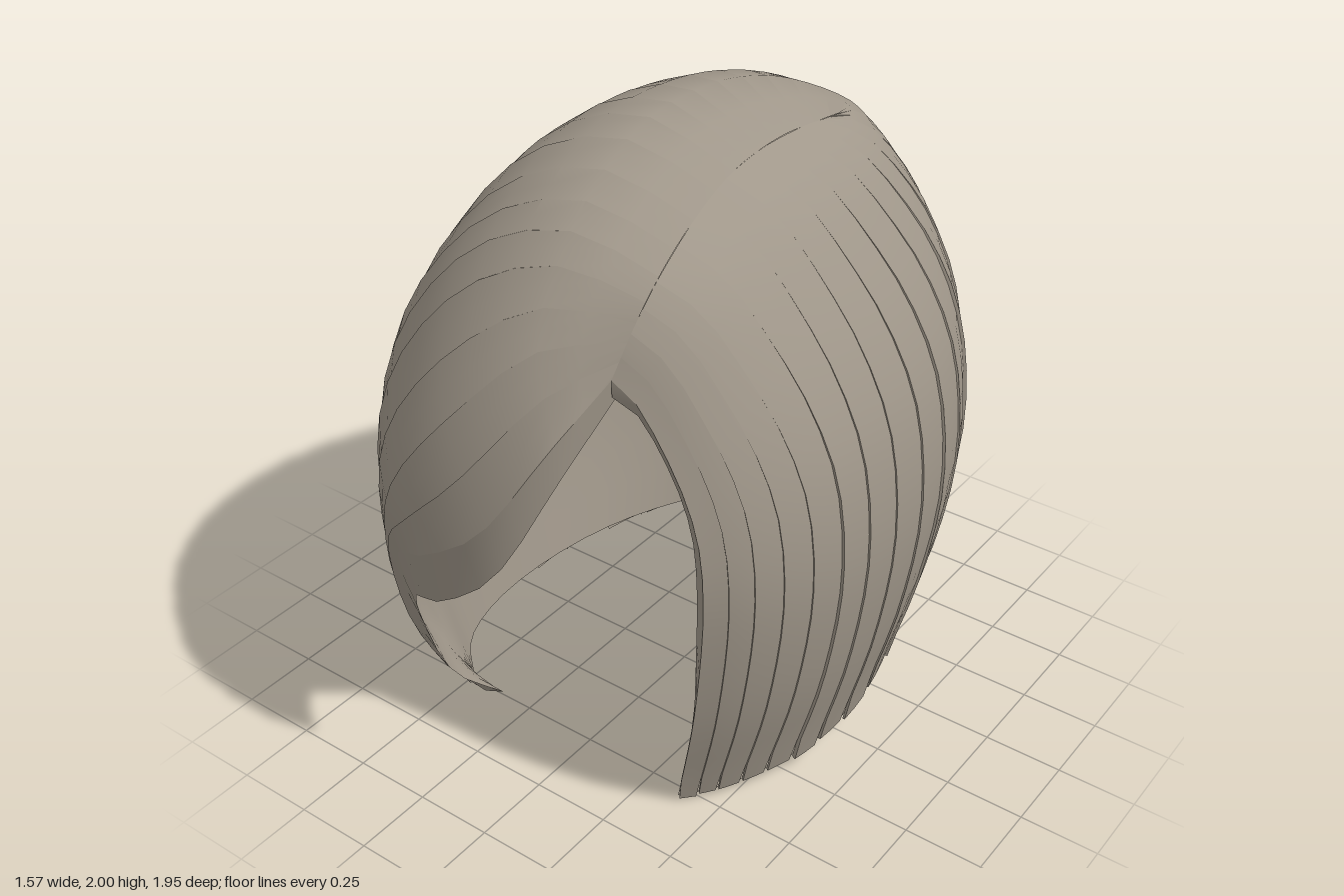
import * as THREE from 'three';
import { toCreasedNormals } from 'three/addons/utils/BufferGeometryUtils.js';

const ROWS = 18, LOCKS = 32, STEPS = 48;
const V = (x, y, z) => new THREE.Vector3(x, y, z);
const spaced = (points) => new THREE.CatmullRomCurve3(points).getSpacedPoints(ROWS);

// Parting line, from the forehead to the crown
const parting = new THREE.CatmullRomCurve3([
  V(0.29, 1.54, 0.71), V(0.32, 1.74, 0.59), V(0.28, 1.89, 0.25), V(0.265, 1.925, -0.05), V(0.29, 1.91, -0.35),
]);

// Two strands sweeping across the forehead
const fringe = [
  spaced([parting.getPoint(0), V(0.21, 1.38, 0.86), V(0.02, 1.08, 0.965), V(-0.2, 0.92, 0.965),
    V(-0.38, 0.8, 0.88), V(-0.45, 0.55, 0.79), V(-0.45, 0.25, 0.69), V(-0.41, 0.02, 0.53)]),
  spaced([parting.getPoint(0.12), V(0.12, 1.62, 0.78), V(-0.1, 1.41, 0.9), V(-0.3, 1.15, 0.93),
    V(-0.45, 0.85, 0.85), V(-0.53, 0.45, 0.72), V(-0.47, 0.04, 0.53)]),
];

// Widest outline of the hair: place on the parting, x, z
const outline = [
  [0.25, -0.56, 0.735], [0.38, -0.69, 0.54], [0.55, -0.77, 0.25], [0.68, -0.77, -0.14],
  [0.8, -0.66, -0.54], [0.9, -0.42, -0.84], [1, 0.03, -0.97], [0.95, 0.45, -0.82],
  [0.85, 0.66, -0.55], [0.68, 0.76, -0.2], [0.5, 0.77, 0.12], [0.3, 0.73, 0.36],
  [0.15, 0.645, 0.54], [0, 0.54, 0.65],
];

// A strand arches like a quarter ellipse to the outline, then curls in to the hem;
// it is fuller on the swept side and flatter on the short side
function strand([s, x, z]) {
  const root = parting.getPoint(s), mid = V(x, 0.94 - 0.1 * x, z), front = Math.max(0, z);
  const points = [root];
  for (const f of [0.17, 0.36, 0.55, 0.77, 1]) {
    const k = Math.sin(f * Math.PI / 2);
    const p = root.clone().lerp(mid, k);
    p.y = mid.y + (root.y - mid.y) * Math.cos(f * Math.PI / 2)
      - (x > 0 ? 0.14 : 0.18) * x * Math.sin(Math.PI * k ** (x > 0 ? 1.5 : 0.85));
    points.push(p);
  }
  const hem = V(x * (0.83 - (x > 0 ? 0.2 : -0.13) * front), 0, z * (x < 0 ? 0.84 - 0.22 * front : 0.84));
  hem.y = 0.1 - 0.14 * hem.z + 0.22 * hem.x * Math.max(0, -hem.z);
  const low = mid.clone().lerp(hem, 0.32);
  low.y = (mid.y + hem.y) / 2;
  return spaced([...points, low, hem]);
}
const guides = [...fringe, ...outline.map(strand)];

// Turned-in edges of the face opening
const fringeEdge = guides[0].map((p, r) => {
  const t = r / ROWS;
  return V(p.x + 0.05 * t, p.y - 0.17 * Math.sin(Math.PI * (0.1 + 0.9 * t)), p.z - 0.03);
});
const sideEdge = guides.at(-1).map((p, r) => {
  const t = r / ROWS;
  return V(p.x - 0.06 * Math.sin(Math.PI * t), p.y - 0.05 * (1 - t), p.z - 0.08 * t ** 0.5);
});

// Crosswise curves through matching points of a set of strands
function loft(strands) {
  const rows = strands[0].map((_, r) => new THREE.CatmullRomCurve3(strands.map((g) => g[r])));
  return (u, r) => rows[r].getPoint(u);
}

// Surface from columns of points running downwards
function sheet(columns, flip = false) {
  const pos = [], idx = [], n = columns[0].length;
  columns.forEach((c) => c.forEach((p) => pos.push(p.x, p.y, p.z)));
  for (let c = 0; c < columns.length - 1; c++) {
    for (let r = 0; r < n - 1; r++) {
      const a = c * n + r, b = a + n, d = a + 1, e = b + 1;
      if (flip) idx.push(a, d, b, b, d, e);
      else idx.push(a, b, d, b, e, d);
    }
  }
  const g = new THREE.BufferGeometry();
  g.setAttribute('position', new THREE.Float32BufferAttribute(pos, 3));
  g.setIndex(idx);
  return toCreasedNormals(g, 0.6);
}

export function createModel() {
  const model = new THREE.Group();
  model.name = 'bobHair';
  const hair = new THREE.MeshStandardMaterial({ color: 0xa0978a, side: THREE.DoubleSide });
  hair.name = 'ash brown hair';
  const add = (name, geometry) => {
    const mesh = new THREE.Mesh(geometry, hair);
    mesh.name = name;
    model.add(mesh);
  };
  let seed = 7;
  const rand = () => (seed = (seed * 16807) % 2147483647) / 2147483647;

  // Overlapping locks, each with one slightly raised edge and a ragged tip
  const outer = loft(guides);
  for (let i = 0; i < LOCKS; i++) {
    const drop = 0.03 * rand(), lift = 0.004 + 0.008 * rand();
    const column = (k, raise) => Array.from({ length: ROWS + 1 }, (_, r) => {
      const tip = r === ROWS;
      const across = tip ? 0.5 + (k - 0.5) * 0.86 : k;
      const p = outer((i + across) / LOCKS, r);
      const out = V(p.x, 0, p.z).normalize();
      p.addScaledVector(out, raise * THREE.MathUtils.clamp((r - 2) / 5, 0, 1));
      if (tip) p.y = Math.max(0, p.y - drop + 0.008 * k);
      return p;
    });
    add('lock', sheet([column(0, 0), column(0.5, lift / 2), column(1, lift), column(1, -0.004)]));
  }

  // Turned-in edges of the fringe and of the short side
  add('fringeEdge', sheet([fringeEdge, guides[0]]));
  add('sideEdge', sheet([guides.at(-1), sideEdge]));

  // Inner lining, closing the thickness of the hair
  const inset = guides.slice(1, -1).map((g) => g.map((p) =>
    V(p.x * 0.97, 0.2 + (p.y - 0.2) * 0.983, p.z * 0.97)));
  const inner = loft([fringeEdge, ...inset, sideEdge]);
  const lining = Array.from({ length: STEPS + 1 }, (_, c) =>
    Array.from({ length: ROWS + 1 }, (_, r) => inner(c / STEPS, r)));
  add('lining', sheet(lining, true));

  // Underside of the hem
  add('hem', sheet(lining.map((c, i) => [outer(i / STEPS, ROWS), c[ROWS]])));
  return model;
}
